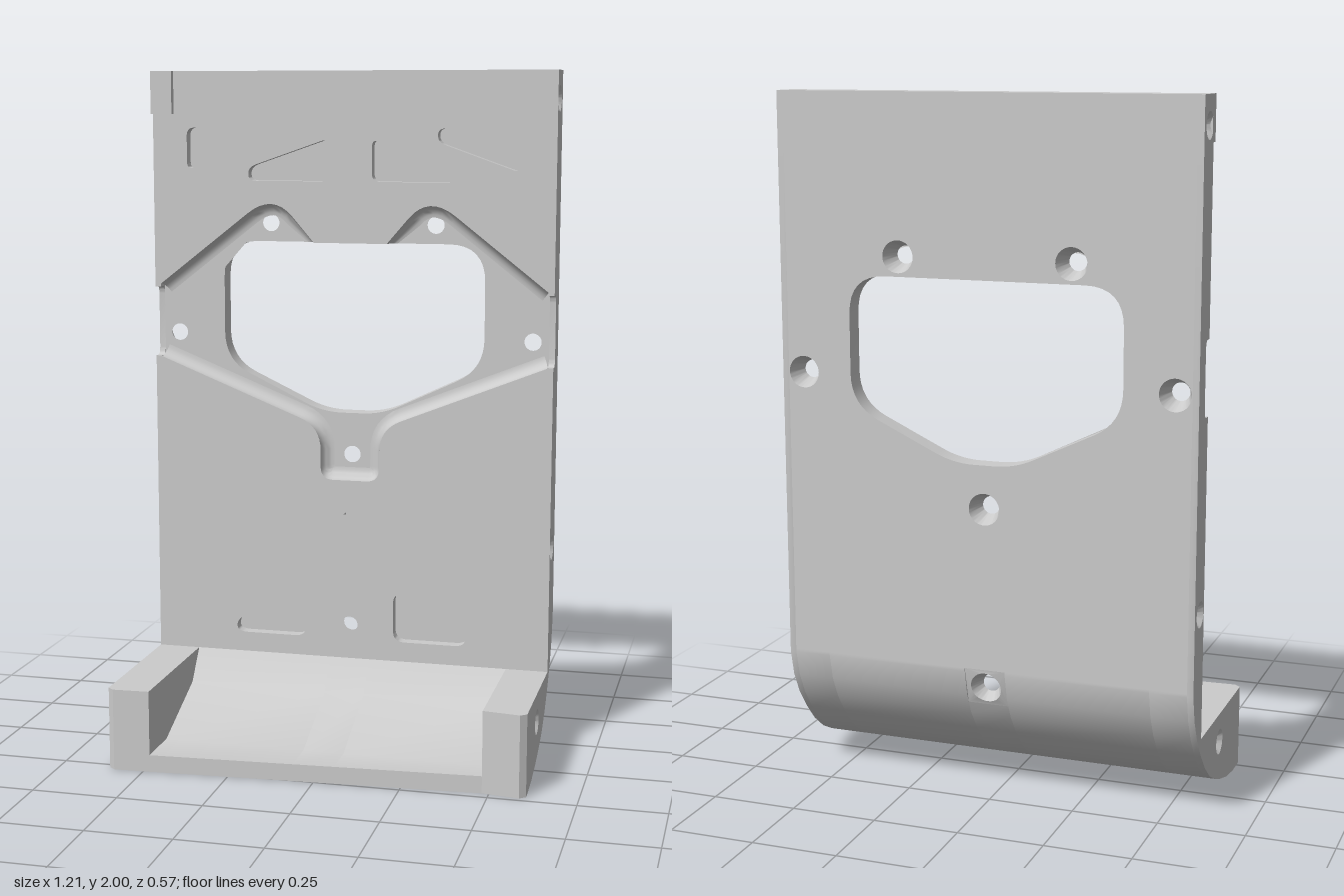
import * as THREE from 'three';
import { toCreasedNormals } from 'three/addons/utils/BufferGeometryUtils.js';

const BACK = -0.285, FLOOR = -0.225, FRONT = -0.19; // plate depths
const EDGE = 0.587, SIDE = 0.605;                   // inner plate / outer side
const HOLE = 0.045, SIDE_HOLE = 0.037;

// Underside and heel, as [z, y] from the toe to the back of the plate
const HEEL = [[0.2, 0], [0.12, 0.012], [0.04, 0.035], [-0.02, 0.058], [-0.08, 0.088],
  [-0.14, 0.135], [-0.19, 0.19], [-0.235, 0.25], [-0.267, 0.315], [BACK, 0.39]];

// Toe depth at each x where sections end
const TOE = [[-0.605, 0.27], [-0.587, 0.285], [-0.48, 0.28], [0.48, 0.22], [0.587, 0.235], [0.605, 0.22]];

function lerpTable(table, key, val, t) {
  for (let i = 1; i < table.length; i++) {
    const a = table[i - 1], b = table[i];
    if (t <= b[key] + 1e-6) return a[val] + (b[val] - a[val]) * (t - a[key]) / (b[key] - a[key]);
  }
  return table[table.length - 1][val];
}
const heelZ = y => lerpTable(HEEL, 1, 0, y);
const toeZ = x => lerpTable(TOE, 0, 1, x);

// Rounds the corners of [x, y, cut] points
function rounded(pts, closed = true) {
  const out = [], n = pts.length;
  pts.forEach(([x, y, cut = 0], i) => {
    const p = new THREE.Vector2(x, y);
    if (!cut || (!closed && (i === 0 || i === n - 1))) return out.push(p);
    const toward = q => {
      const d = new THREE.Vector2(q[0] - x, q[1] - y);
      return p.clone().add(d.setLength(Math.min(cut, d.length() * 0.48)));
    };
    const a = toward(pts[(i + n - 1) % n]), b = toward(pts[(i + 1) % n]);
    out.push(...new THREE.QuadraticBezierCurve(a, p, b).getPoints(8));
  });
  return out;
}
const withCut = (pts, cut) => pts.map(([x, y]) => [x, y, cut]);
const mirrored = pts => pts.map(([x, y, c]) => [-x, y, c]).reverse();
const vec = pts => pts.map(([x, y]) => new THREE.Vector2(x, y));
const circle = (x, y, r) => new THREE.Path().absarc(x, y, r, 0, Math.PI * 2, true);

function moveVertices(geo, rule) {
  const p = geo.attributes.position, v = new THREE.Vector3();
  for (let i = 0; i < p.count; i++) {
    rule(v.fromBufferAttribute(p, i));
    p.setXYZ(i, v.x, v.y, v.z);
  }
  return geo;
}

function extrude(outline, holes, depth) {
  const shape = new THREE.Shape(outline);
  shape.holes = holes;
  return new THREE.ExtrudeGeometry(shape, { depth, bevelEnabled: false, curveSegments: 24 });
}
const slab = (outline, holes, z0, z1) => extrude(outline, holes, z1 - z0).translate(0, 0, z0);

// Extrudes a [z, y] profile from x0 to x1 and slants the toe
function crossSlab(profile, x0, x1, holes = []) {
  const geo = extrude(profile.map(([z, y]) => new THREE.Vector2(-z, y)), holes, x1 - x0);
  geo.rotateY(Math.PI / 2).translate(x0, 0, 0);
  return moveVertices(geo, v => { if (v.z > 0.249) v.z = toeZ(v.x); });
}

export function createModel() {
  const group = new THREE.Group();
  const grey = new THREE.MeshStandardMaterial({ color: 0xcccccc });
  const greyThin = new THREE.MeshStandardMaterial({ color: 0xcccccc, side: THREE.DoubleSide });
  const add = (name, geo, mat = grey) => {
    const mesh = new THREE.Mesh(toCreasedNormals(geo, 0.6), mat);
    mesh.name = name;
    group.add(mesh);
  };

  // Back layer with window and countersunk screw holes
  const screws = [[-0.25, 1.555], [0.25, 1.555], [-0.54, 1.22], [0.54, 1.22], [0, 0.865], [0, 0.345]];
  const countersink = v => {
    if (v.z < FLOOR - 0.01) return;
    for (const [x, y] of screws) {
      if (Math.hypot(v.x - x, v.y - y) < HOLE + 0.002) {
        v.x = x + (v.x - x) * 0.56;
        v.y = y + (v.y - y) * 0.56;
        return;
      }
    }
  };
  const screwHole = ([x, y]) => circle(x, y, HOLE);
  const halfWindow = [[0.397, 1.5, 0.11], [0.397, 1.135, 0.09], [0.09, 0.99, 0.06]];
  const windowHole = new THREE.Path(rounded([...halfWindow, ...mirrored(halfWindow)]));
  add('backPlate', moveVertices(slab(
    vec([[-EDGE, 0.4], [EDGE, 0.4], [EDGE, 2], [-EDGE, 2]]),
    [windowHole, ...screws.slice(0, 5).map(screwHole)], BACK, FLOOR), countersink));

  // Small block around the lowest screw, following the heel curve
  add('lowerScrewBlock', moveVertices(slab(
    vec([[-0.06, 0.29], [0.06, 0.29], [0.06, 0.4], [-0.06, 0.4]]),
    [screwHole(screws[5])], BACK, FLOOR), v => {
    countersink(v);
    if (v.z < FLOOR - 0.01) v.z = heelZ(v.y);
  }));

  // Front layer: two pieces either side of the recess, with pockets
  const earLeft = [[-EDGE, 1.369], [-0.235, 1.645, 0.1], [-0.11, 1.5]];
  const ears = [earLeft, mirrored(earLeft)].map(p => rounded(p, false));
  const halfTongue = [[-EDGE, 1.148], [-0.09, 0.95, 0.07], [-0.09, 0.79, 0.04]];
  const tongue = rounded([...halfTongue, ...mirrored(halfTongue)], false);
  const bothSides = (pts, cut) => {
    const p = withCut(pts, cut);
    return [p, mirrored(p)].map(q => new THREE.Path(rounded(q)));
  };
  const upperPockets = [
    [[-0.5, 1.835], [-0.26, 1.835], [-0.26, 1.795], [-0.5, 1.71]],
    [[-0.31, 1.68], [-0.065, 1.68], [-0.065, 1.805], [-0.31, 1.72]],
  ].flatMap(p => bothSides(p, 0.025));
  const lowerPockets = [
    [[-0.48, 0.935], [-0.2, 0.805], [-0.48, 0.66]],
    [[-0.41, 0.637], [-0.135, 0.785], [-0.135, 0.495]],
    [[-0.48, 0.605], [-0.2, 0.485], [-0.48, 0.335]],
    [[-0.355, 0.3], [-0.135, 0.3], [-0.135, 0.455], [-0.355, 0.34]],
  ].flatMap(p => bothSides(p, 0.035));
  const anglePocket = new THREE.Path(vec([[-0.07, 0.73], [0.08, 0.73], [0.08, 0.685],
    [-0.02, 0.685], [-0.02, 0.475], [-0.07, 0.475]]));
  add('upperFrontPlate', slab(
    [...vec([[-EDGE, 2]]), ...ears[0], ...ears[1], ...vec([[EDGE, 2]])], upperPockets, FLOOR, FRONT));
  add('lowerFrontPlate', slab(
    [...vec([[-EDGE, 0.24]]), ...tongue, ...vec([[EDGE, 0.24]])],
    [...lowerPockets, anglePocket, circle(0, 0.345, 0.025)], FLOOR, FRONT));

  // Hollow fillets along the recess walls
  const fillet = (line, sign, minY) => {
    const r = FRONT - FLOOR, steps = 6, pos = [], index = [];
    line.forEach((p, i) => {
      const t = line[Math.min(i + 1, line.length - 1)].clone().sub(line[Math.max(i - 1, 0)]).normalize();
      for (let k = 0; k <= steps; k++) {
        const a = k / steps * Math.PI / 2, d = r * (1 - Math.cos(a)) * sign;
        const x = p.x - t.y * d, y = p.y + t.x * d;
        pos.push(x, Math.abs(x) < 0.38 ? Math.max(y, minY) : y, FRONT - r * Math.sin(a) + 0.0005);
        if (i && k) {
          const c = i * (steps + 1) + k, b = c - steps - 1;
          index.push(b - 1, b, c, b - 1, c, c - 1);
        }
      }
    });
    const geo = new THREE.BufferGeometry();
    geo.setAttribute('position', new THREE.Float32BufferAttribute(pos, 3));
    geo.setIndex(sign > 0 ? index.reverse() : index);
    return geo;
  };
  ears.forEach(e => add('upperRecessFillet', fillet(e, -1, 1.5), greyThin));
  add('lowerRecessFillet', fillet(tongue, 1, 0), greyThin);

  // Foot: sloped tray between two walls
  const heelTo = top => [...HEEL.filter(p => p[1] < top), [heelZ(top), top]];
  const footProfile = (top, inside) => [...heelTo(top), [FLOOR, top], ...inside, [0.25, 0]];
  const trayFloor = [[FLOOR, 0.24], [FRONT, 0.24], [-0.12, 0.15], [0.13, 0.05], [0.25, 0.05]];
  const wallTop = [[FLOOR, 0.24], [0.25, 0.24]];
  for (const [x0, x1, top] of [[-0.48, -0.06, 0.4], [-0.06, 0.06, 0.29], [0.06, 0.48, 0.4]]) {
    add('footTray', crossSlab(footProfile(top, trayFloor), x0, x1));
  }
  for (const [x0, x1] of [[-EDGE, -0.48], [0.48, EDGE]]) {
    add('footWall', crossSlab(footProfile(0.4, wallTop), x0, x1));
  }

  // Side faces with recess notch and countersunk blind holes
  const notch = rounded([[FRONT, 1.36], [FLOOR, 1.36, 0.03], [FLOOR, 1.15, 0.03], [FRONT, 1.15]], false)
    .map(p => [p.x, p.y]);
  const sideProfile = [...HEEL, [BACK, 2], [FRONT, 2], ...notch, [FRONT, 0.24], [0.25, 0.24], [0.25, 0]];
  const sideHoles = [[-0.23, 1.92], [-0.23, 0.61], [0.025, 0.155]];
  for (const [x0, x1] of [[-SIDE, -EDGE], [EDGE, SIDE]]) {
    const geo = crossSlab(sideProfile, x0, x1, sideHoles.map(([z, y]) => circle(-z, y, SIDE_HOLE)));
    add('sideFace', moveVertices(geo, v => {
      if (Math.abs(v.x) > EDGE + 0.005) return;
      for (const [z, y] of sideHoles) {
        if (Math.hypot(v.z - z, v.y - y) < SIDE_HOLE + 0.001) {
          v.z = z + (v.z - z) * 0.5;
          v.y = y + (v.y - y) * 0.5;
          return;
        }
      }
    }));
  }

  // Raised corner tab
  add('cornerTab', new THREE.BoxGeometry(0.065, 0.125, 0.03).translate(-0.5725, 1.9375, -0.185));

  return group;
}
